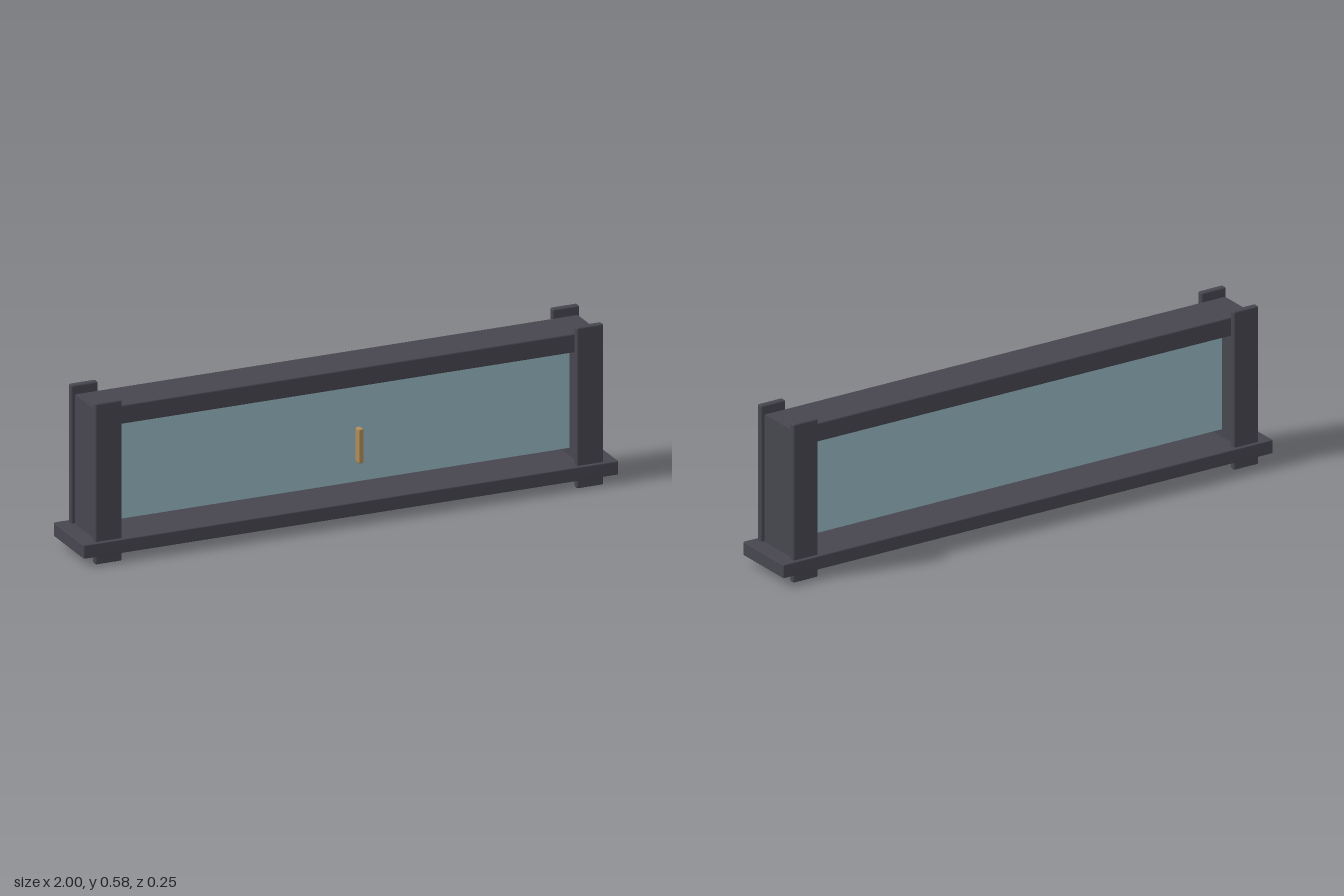
import * as THREE from 'three';
import { RoundedBoxGeometry } from 'three/addons/geometries/RoundedBoxGeometry.js';

export function createModel() {
  const model = new THREE.Group();
  model.name = 'glazedDisplayCase';

  const material = (name, color) => {
    const m = new THREE.MeshStandardMaterial({ color });
    m.name = name;
    return m;
  };
  const wood = material('charcoalWood', 0x47464f);
  const glass = material('paleBlueGlass', 0x96b9c2);
  const brass = material('brass', 0xb08d57);

  const add = (name, geometry, mat, x, y, z) => {
    const mesh = new THREE.Mesh(geometry, mat);
    mesh.name = name;
    mesh.position.set(x, y, z);
    model.add(mesh);
    return mesh;
  };

  // Base board
  add('baseBoard', new RoundedBoxGeometry(2, 0.05, 0.25, 2, 0.004), wood, 0, 0.058, 0);

  // Frame: two side panels and a top rail in one inverted U with eased edges
  const outer = 0.94, inner = 0.87, foot = 0.08, top = 0.553, under = 0.485;
  const outline = new THREE.Shape([
    [-outer, foot], [-inner, foot], [-inner, under], [inner, under],
    [inner, foot], [outer, foot], [outer, top], [-outer, top],
  ].map(([x, y]) => new THREE.Vector2(x, y)));
  const bevel = 0.004, depth = 0.168;
  const frame = new THREE.ExtrudeGeometry(outline, {
    depth: depth - 2 * bevel,
    bevelEnabled: true,
    bevelThickness: bevel,
    bevelSize: bevel,
    bevelOffset: -bevel,
    bevelSegments: 2,
  });
  add('frame', frame, wood, 0, 0, -depth / 2 + bevel);

  // Four corner posts, passing through the base to form the feet
  const post = new RoundedBoxGeometry(0.1, 0.584, 0.025, 3, 0.006);
  for (const x of [-0.9, 0.9]) {
    for (const z of [-0.0995, 0.0995]) {
      const name = (z > 0 ? 'front' : 'back') + (x > 0 ? 'Left' : 'Right') + 'Post';
      add(name, post, wood, x, 0.292, z);
    }
  }

  // Glass pane, raised clear of the base
  add('glassPane', new THREE.BoxGeometry(2 * inner, under - 0.11, 0.01), glass, 0, (under + 0.11) / 2, 0);

  // Upright pull handle in front of the glass
  add('handle', new RoundedBoxGeometry(0.018, 0.125, 0.03, 2, 0.004), brass, 0.055, 0.268, 0.073);

  return model;
}
